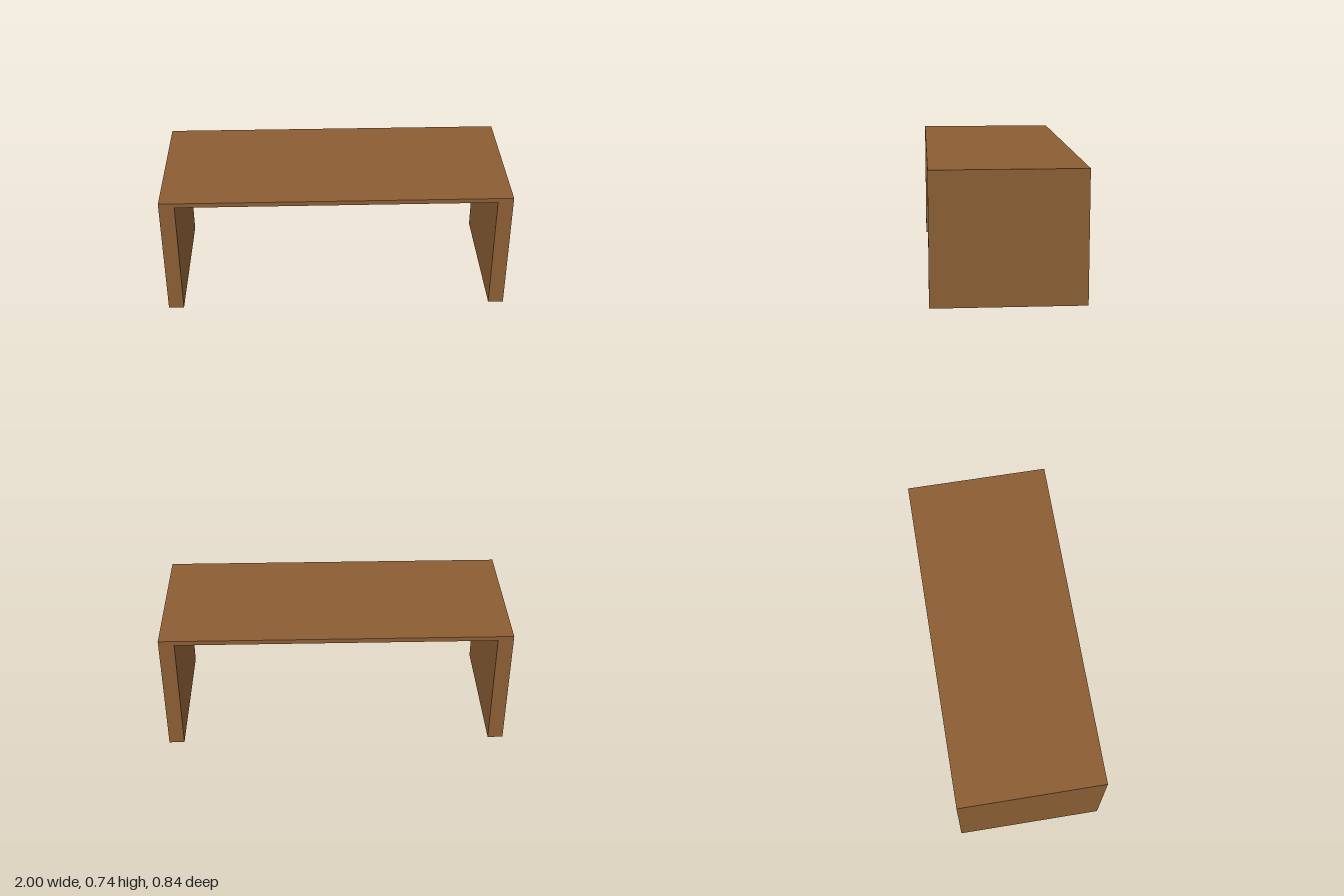
import * as THREE from 'three';

const WIDTH = 2, DEPTH = 0.844, HEIGHT = 0.735;
const TOP_THICKNESS = 0.027, LEG_WIDTH = 0.089;

export function createModel() {
  const group = new THREE.Group();
  group.name = 'bench';

  const wood = new THREE.MeshStandardMaterial({ color: 0x8b5e34 });
  wood.name = 'brown wood';

  const addBoard = (name, w, h, x, y) => {
    const mesh = new THREE.Mesh(new THREE.BoxGeometry(w, h, DEPTH), wood);
    mesh.name = name;
    mesh.position.set(x, y, 0);
    group.add(mesh);
  };

  // Thin top board spanning the full width
  addBoard('topBoard', WIDTH, TOP_THICKNESS, 0, HEIGHT - TOP_THICKNESS / 2);

  // Full-depth slab legs, flush with the ends of the top
  const legHeight = HEIGHT - TOP_THICKNESS;
  for (const [name, side] of [['leftLeg', 1], ['rightLeg', -1]]) {
    addBoard(name, LEG_WIDTH, legHeight, side * (WIDTH - LEG_WIDTH) / 2, legHeight / 2);
  }

  return group;
}
